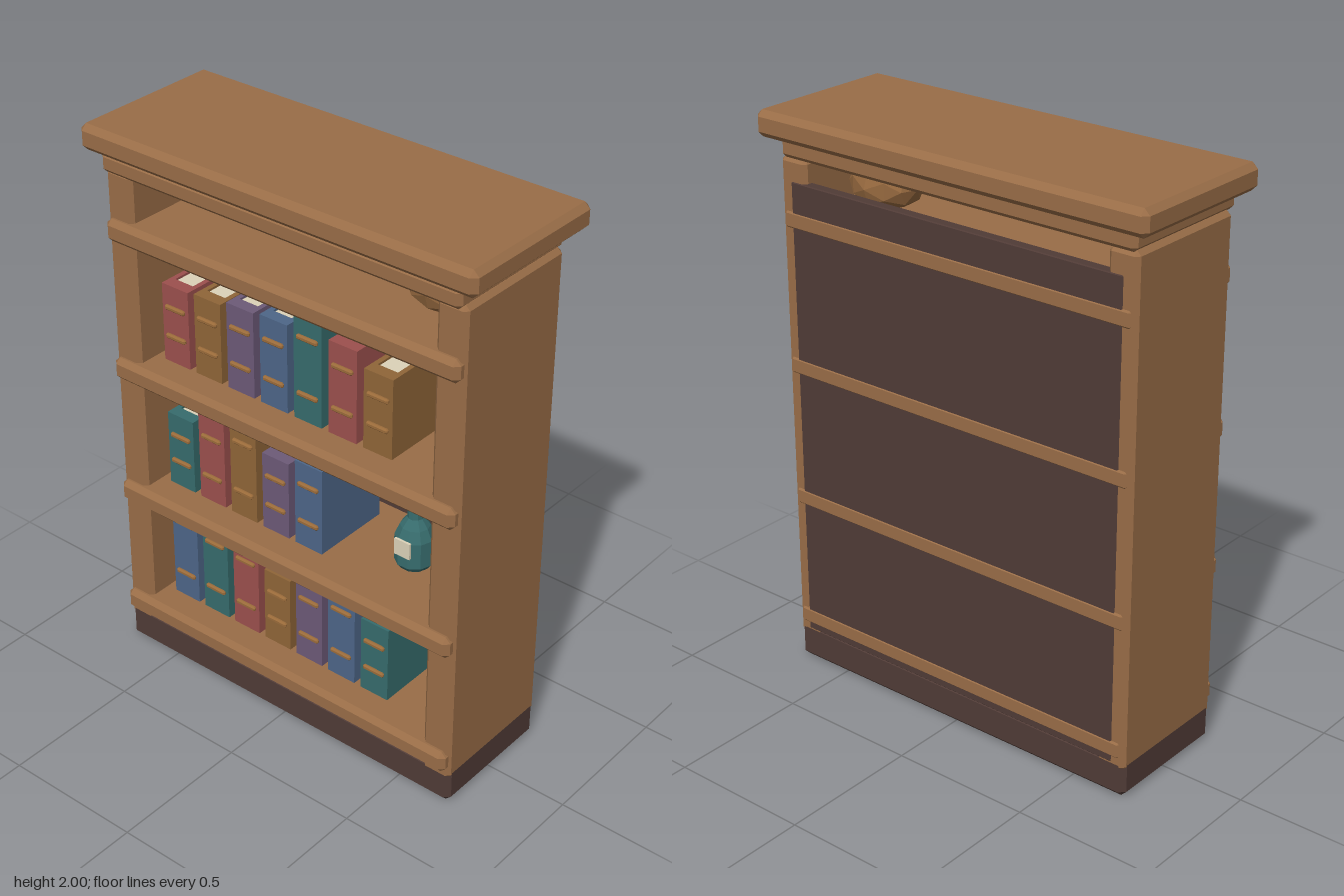
import * as THREE from 'three';
import { ConvexGeometry } from 'three/addons/geometries/ConvexGeometry.js';

const mat = (name, color, extra = {}) => {
  const m = new THREE.MeshStandardMaterial({ color, ...extra });
  m.name = name;
  return m;
};

// Box with every edge chamfered by b
function chamferBox(w, h, d, b) {
  const pts = [];
  for (const x of [-1, 1]) for (const y of [-1, 1]) for (const z of [-1, 1]) {
    const [X, Y, Z] = [w / 2, h / 2, d / 2];
    pts.push(
      new THREE.Vector3(x * X, y * (Y - b), z * (Z - b)),
      new THREE.Vector3(x * (X - b), y * Y, z * (Z - b)),
      new THREE.Vector3(x * (X - b), y * (Y - b), z * Z));
  }
  return new ConvexGeometry(pts);
}

export function createModel() {
  const wood = mat('wood', 0x996d47);
  const darkWood = mat('dark wood', 0x503b36);
  const red = mat('red cover', 0x9c504d);
  const ochre = mat('ochre cover', 0x8f6538);
  const purple = mat('purple cover', 0x6d5a78);
  const blue = mat('blue cover', 0x4d6688);
  const teal = mat('teal', 0x376c6d, { flatShading: true });
  const cream = mat('cream paper', 0xdcd2b8);
  const trim = mat('bronze trim', 0x9a6b3a);
  const stone = mat('brown stone', 0x96693f, { flatShading: true });

  const root = new THREE.Group();
  root.name = 'bookcase';
  const add = (parent, name, geo, material, x, y, z) => {
    const m = new THREE.Mesh(geo, material);
    m.name = name;
    m.position.set(x, y, z);
    parent.add(m);
    return m;
  };
  // Box given by its extents in y and z, centred on x
  const slab = (name, material, x, w, y0, y1, z0, z1, b) =>
    add(root, name, chamferBox(w, y1 - y0, z1 - z0, b), material, x, (y0 + y1) / 2, (z0 + z1) / 2);

  // Carcass
  slab('plinth', darkWood, 0, 1.42, 0, 0.14, -0.24, 0.24, 0.02);
  for (const s of [-1, 1])
    slab(s > 0 ? 'leftSide' : 'rightSide', wood, s * 0.655, 0.11, 0.1, 1.85, -0.24, 0.24, 0.015);
  slab('backPanel', darkWood, 0, 1.32, 0.125, 1.77, -0.243, -0.205, 0.003);
  slab('cornice', wood, 0, 1.405, 1.845, 1.915, -0.245, 0.265, 0.015);
  slab('topBoard', wood, 0, 1.536, 1.91, 2.0, -0.29, 0.29, 0.02);

  // Shelves
  const shelfTops = [0.215, 0.68, 1.167, 1.68];
  for (const y of shelfTops) slab('shelf', wood, 0, 1.405, y - 0.08, y, -0.246, 0.265, 0.018);

  // Books: spine, two boards, pages and raised spine bands
  const front = 0.157, depth = 0.3, width = 0.113, board = 0.018, spine = 0.045;
  function book(x, y, h, cover) {
    const g = new THREE.Group();
    g.name = 'book';
    g.position.set(x, y, front);
    add(g, 'spine', new THREE.BoxGeometry(width, h, spine), cover, 0, h / 2, -spine / 2);
    for (const s of [-1, 1])
      add(g, 'coverBoard', new THREE.BoxGeometry(board, h, depth - spine), cover,
        s * (width - board) / 2, h / 2, -(depth + spine) / 2);
    add(g, 'pages', new THREE.BoxGeometry(width - 2 * board, h - 0.008, depth - spine - 0.01), cream,
      0, (h - 0.008) / 2, -(depth + spine - 0.01) / 2);
    for (const by of [0.098, h - 0.081])
      add(g, 'spineBand', chamferBox(0.085, 0.018, 0.016, 0.005), trim, 0, by, 0.002);
    root.add(g);
  }
  const rows = [
    [[0.39, blue], [0.37, teal], [0.362, red], [0.287, ochre], [0.328, purple], [0.355, blue], [0.287, teal]],
    [[0.28, teal], [0.333, red], [0.372, ochre], [0.292, purple], [0.322, blue]],
    [[0.286, red], [0.293, ochre], [0.313, purple], [0.321, blue], [0.383, teal], [0.333, red], [0.286, ochre]],
  ];
  rows.forEach((row, r) => row.forEach(([h, cover], i) =>
    book(-0.506 + 0.14 * i, shelfTops[r], h, cover)));

  // Bottle with cork and label
  const bottle = new THREE.Group();
  bottle.name = 'bottle';
  bottle.position.set(0.37, 0.68, 0);
  root.add(bottle);
  const profile = [[0, 0], [0.052, 0], [0.067, 0.02], [0.067, 0.115], [0.05, 0.155], [0.027, 0.185],
    [0.025, 0.235], [0.032, 0.237], [0.032, 0.252], [0, 0.252]].map(p => new THREE.Vector2(...p));
  add(bottle, 'glass', new THREE.LatheGeometry(profile, 10, Math.PI / 10), teal, 0, 0, 0);
  add(bottle, 'cork', new THREE.CylinderGeometry(0.026, 0.022, 0.03, 8), trim, 0, 0.26, 0);
  add(bottle, 'label', new THREE.BoxGeometry(0.062, 0.06, 0.009), cream, 0, 0.093, 0.065);

  // Faceted stone on the top shelf, flattened underneath
  const rock = new THREE.IcosahedronGeometry(0.132, 1);
  rock.scale(1, 0.72, 0.85);
  const p = rock.attributes.position;
  for (let i = 0; i < p.count; i++) p.setY(i, Math.max(p.getY(i), -0.072));
  rock.computeVertexNormals();
  add(root, 'stone', rock, stone, 0.465, 1.75, 0);

  return root;
}
